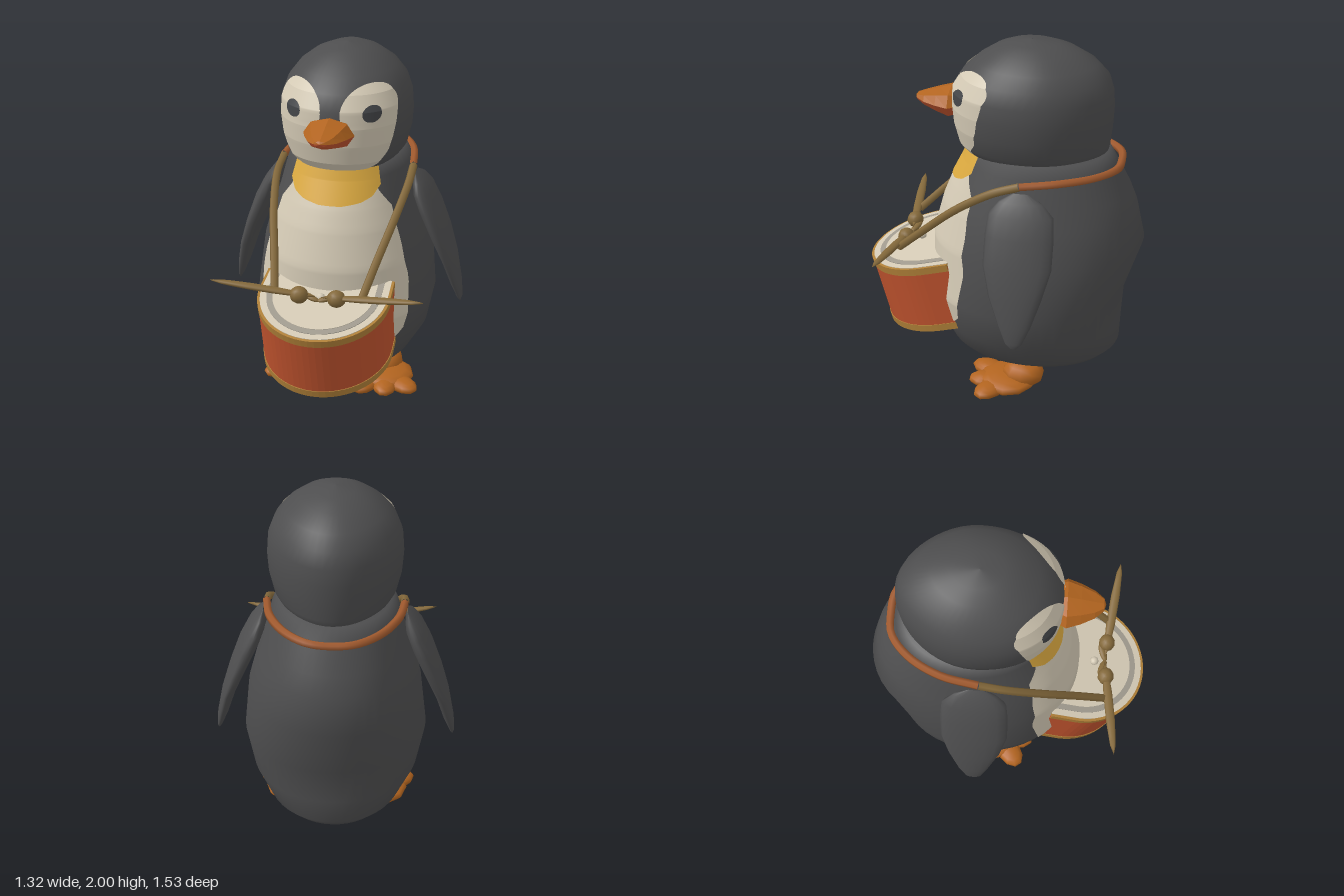
import * as THREE from 'three';

const mat = (name, color, extra = {}) => {
  const m = new THREE.MeshStandardMaterial({ color, ...extra });
  m.name = name;
  return m;
};

// Cross-section rows: [y, half width, front z, back z, centre x, front fullness, back fullness]
const BODY = [
  [0.08, 0.001, -0.17, -0.171], [0.09, 0.16, 0.02, -0.36], [0.15, 0.25, 0.17, -0.5],
  [0.2, 0.32, 0.25, -0.6], [0.26, 0.38, 0.3, -0.655], [0.4, 0.46, 0.36, -0.66],
  [0.6, 0.5, 0.39, -0.67], [0.9, 0.465, 0.385, -0.765], [1.1, 0.41, 0.33, -0.72],
  [1.2, 0.375, 0.29, -0.68], [1.35, 0.335, 0.215, -0.6], [1.42, 0.3, 0.19, -0.56],
  [1.46, 0.001, -0.18, -0.181],
].map(row => [...row, 0, 0.02, 0.02]);
const HEAD = [
  [1.36, 0.001, -0.18, -0.181], [1.37, 0.25, 0.14, -0.5], [1.4, 0.285, 0.2, -0.55],
  [1.45, 0.32, 0.24, -0.56], [1.55, 0.345, 0.265, -0.57], [1.65, 0.352, 0.275, -0.575],
  [1.74, 0.345, 0.27, -0.57], [1.82, 0.315, 0.225, -0.545], [1.89, 0.26, 0.15, -0.48],
  [1.95, 0.18, 0.06, -0.38], [1.985, 0.1, -0.02, -0.28], [2.0, 0.001, -0.14, -0.141],
].map(row => [...row, 0, 0.035, -0.035]);
const WING = [
  [0.53, 0.002, -0.15, -0.18, 0.65], [0.56, 0.015, -0.12, -0.21, 0.645],
  [0.65, 0.03, -0.08, -0.25, 0.622], [0.8, 0.04, -0.02, -0.3, 0.582],
  [0.95, 0.05, 0.02, -0.34, 0.527], [1.1, 0.058, 0.02, -0.34, 0.465],
  [1.2, 0.05, 0.01, -0.33, 0.422], [1.26, 0.03, -0.04, -0.27, 0.398], [1.3, 0.002, -0.11, -0.19, 0.38],
];
// Runs along the beak's length
const BEAK = [
  [0.24, 0.11, 0.08, -0.06], [0.29, 0.135, 0.095, -0.07], [0.36, 0.11, 0.072, -0.05],
  [0.43, 0.075, 0.045, -0.028], [0.475, 0.035, 0.02, -0.014], [0.485, 0.001, 0.001, -0.001],
];

// Linear lookup of a row at height y
function rowAt(table, y) {
  let i = 0;
  while (i < table.length - 2 && y > table[i + 1][0]) i++;
  const a = table[i], b = table[i + 1];
  const k = THREE.MathUtils.clamp((y - a[0]) / (b[0] - a[0]), 0, 1);
  return a.map((v, j) => v + (b[j] - v) * k);
}

// Point on the section at angle t from the front; fullness swells the diagonals
function sectionPoint([y, w, zf, zb, cx = 0, fullFront = 0, fullBack = 0], t, grow = 0) {
  const k = 1 + (Math.cos(t) < 0 ? fullBack : fullFront) * Math.sin(2 * t) ** 2;
  return [cx + (w + grow) * Math.sin(t) * k, y,
    (zf + zb) / 2 + ((zf - zb) / 2 + grow) * Math.cos(t) * k];
}

// Skin a grid of points, optionally joined around
function skin(rows, closed) {
  const n = rows[0].length, index = [];
  for (let r = 0; r < rows.length - 1; r++) {
    for (let c = 0; c < (closed ? n : n - 1); c++) {
      const d = (c + 1) % n, a = r * n + c, b = r * n + d;
      index.push(a, b, b + n, a, b + n, a + n);
    }
  }
  const g = new THREE.BufferGeometry();
  g.setAttribute('position', new THREE.Float32BufferAttribute(rows.flat(2), 3));
  g.setIndex(index);
  g.computeVertexNormals();
  return g;
}

function loft(table, segments, from = 0, to = Math.PI * 2) {
  const closed = to - from > 6, n = closed ? segments : segments + 1;
  return skin(table.map(row => Array.from({ length: n },
    (_, i) => sectionPoint(row, from + (to - from) * i / segments))), closed);
}

// Thin painted area hugging a loft, between x = lo(y) and x = hi(y)
function patch(table, y0, y1, lo, hi, grow = 0.006) {
  const ys = table.map(r => r[0]).filter(y => y > y0 + 0.002 && y < y1 - 0.002);
  for (let i = 0; i <= 30; i++) ys.push(y0 + (y1 - y0) * (1 - Math.cos(Math.PI * i / 30)) / 2);
  ys.sort((a, b) => a - b);
  return skin(ys.map(y => {
    const row = rowAt(table, y);
    const ang = x => Math.asin(THREE.MathUtils.clamp(x / row[1], -1, 1));
    const a = ang(lo(y)), b = ang(hi(y));
    return Array.from({ length: 25 }, (_, i) => sectionPoint(row, a + (b - a) * i / 24, grow));
  }), false);
}

const along = pts => y => rowAt(pts, y)[1];
// Half width of an ellipse at height y
const bulge = (y, cy, rx, ry) => rx * Math.sqrt(Math.max(0, 1 - ((y - cy) / ry) ** 2));

// Slab with the drum's footprint: rounded front, straight sides running back to the belly
function drumSlab(scale, height) {
  const shape = new THREE.Shape();
  shape.moveTo(0.35 * scale, 0.27);
  shape.lineTo(-0.35 * scale, 0.27);
  for (let i = 0; i <= 32; i++) {
    const a = Math.PI * i / 32;
    shape.lineTo(-0.355 * scale * Math.cos(a), 0.115 - 0.37 * scale * Math.sin(a));
  }
  const g = new THREE.ExtrudeGeometry(shape, { depth: height, bevelEnabled: false });
  g.translate(0, 0, -height / 2);
  g.rotateX(-Math.PI / 2);
  return g;
}

export function createModel() {
  const model = new THREE.Group();
  model.name = 'penguinDrummer';
  const both = { side: THREE.DoubleSide };
  const black = mat('charcoal', 0x4e4e4f), cream = mat('cream', 0xd4cab5, both);
  const yellow = mat('collarYellow', 0xdcaa40, both), eyeGrey = mat('eyeGrey', 0x434548, both);
  const orange = mat('orange', 0xb2641f, both), red = mat('drumRed', 0xc0532e, both);
  const gold = mat('rimGold', 0xb08038), skinGrey = mat('drumSkinGrey', 0xa09a8e);
  const olive = mat('oliveBrown', 0x84693b), rust = mat('rustLeather', 0xa15a2e);

  const add = (name, geometry, material, parent = model) => {
    const m = new THREE.Mesh(geometry, material);
    m.name = name;
    parent.add(m);
    return m;
  };

  // Body, belly and collar
  add('body', loft(BODY, 48), black);
  const belly = along([[0.38, 0.2], [0.42, 0.3], [0.5, 0.375], [0.6, 0.4], [0.8, 0.395],
    [1.0, 0.35], [1.2, 0.29], [1.3, 0.22], [1.38, 0.19]]);
  add('belly', patch(BODY, 0.38, 1.38, y => -belly(y), belly), cream);
  const collar = along([[1.23, 0.06], [1.245, 0.15], [1.27, 0.2], [1.32, 0.23], [1.41, 0.21]]);
  add('collar', patch(BODY, 1.23, 1.41, y => -collar(y), collar, 0.012), yellow);

  // Head with face patches and eyes
  add('head', loft(HEAD, 48), black);
  const cheek = along([[1.39, 0.14], [1.43, 0.21], [1.5, 0.26], [1.58, 0.283], [1.66, 0.297], [1.73, 0.3]]);
  const outer = y => y < 1.73 ? cheek(y) : 0.18 + bulge(y, 1.73, 0.12, 0.135);
  const inner = y => y < 1.67 ? 0 : 0.18 - bulge(y, 1.73, 0.13, 0.135);
  const eyeHalf = y => bulge(y, 1.73, 0.04, 0.043);
  for (const s of [1, -1]) {
    const side = s > 0 ? 'left' : 'right';
    const span = (a, b) => s > 0 ? [a, b] : [y => -b(y), y => -a(y)];
    add(side + 'Face', patch(HEAD, 1.39, 1.865, ...span(inner, outer)), cream);
    add(side + 'Eye', patch(HEAD, 1.687, 1.773,
      ...span(y => 0.195 - eyeHalf(y), y => 0.195 + eyeHalf(y)), 0.012), eyeGrey);
  }

  // Beak: red underside, orange top
  for (const [name, from, material] of [['lowerBeak', -Math.PI / 2, red], ['upperBeak', Math.PI / 2, orange]]) {
    const g = loft(BEAK, 4, from, from + Math.PI).toNonIndexed();
    g.computeVertexNormals();
    g.rotateX(Math.PI / 2);
    add(name, g, material).position.y = 1.645;
  }

  // Drum, tilted forward
  const drum = new THREE.Group();
  drum.name = 'drum';
  drum.position.set(0, 0.555, 0.47);
  drum.rotation.x = 0.25;
  model.add(drum);
  const slab = (name, scale, height, y, material) =>
    add(name, drumSlab(scale, height), material, drum).position.y = y;
  slab('drumShell', 0.99, 0.36, 0, red);
  for (const s of [1, -1]) {
    slab('drumRim', 1, 0.04, s * 0.18, gold);
    slab('drumSkin', 0.96, 0.004, s * 0.201, cream);
    slab('drumSkinRing', 0.86, 0.004, s * 0.204, skinGrey);
    slab('drumSkinCentre', 0.77, 0.004, s * 0.207, cream);
  }
  const knob = add('drumKnob', new THREE.SphereGeometry(0.025, 8, 6), cream);
  knob.position.set(0, 0.79, 0.48);

  // Strap: two front runs and one run behind the neck
  const strap = (name, pts, material) => add(name, new THREE.TubeGeometry(
    new THREE.CatmullRomCurve3(pts.map(p => new THREE.Vector3(...p))), 40, 0.022, 6), material);
  const nape = [[0.365, 1.33, -0.14], [0.33, 1.35, -0.34], [0.24, 1.355, -0.51], [0.12, 1.355, -0.61]];
  const flip = ([x, y, z]) => [-x, y, z];
  const front = [[0.23, 0.83, 0.55], [0.275, 0.98, 0.39], [0.33, 1.15, 0.2], [0.365, 1.28, 0], nape[0]];
  strap('leftStrap', front, olive);
  strap('rightStrap', front.map(flip), olive);
  strap('napeStrap', [...nape, [0, 1.35, -0.625], ...nape.map(flip).reverse()], rust);

  // Wing, drumstick and foot, mirrored for each side
  for (const s of [1, -1]) {
    const half = new THREE.Group();
    half.name = s > 0 ? 'leftLimbs' : 'rightLimbs';
    half.scale.x = s;
    model.add(half);
    add('wing', loft(WING, 16), black, half);

    const ball = (name, p, size, material, turn = 0, tilt = 0) => {
      const m = add(name, new THREE.SphereGeometry(1, 10, 8), material, half);
      m.position.set(...p);
      m.scale.set(...size);
      m.rotation.set(0, turn, tilt);
    };
    ball('drumstick', [0.29, 0.856, 0.57], [0.28, 0.016, 0.026], olive, -0.12, 0.12);
    ball('drumstickTip', [0.1, 0.828, 0.545], [0.05, 0.046, 0.046], olive);
    ball('drumstickEnd', [0.045, 0.812, 0.525], [0.055, 0.014, 0.02], olive, 0.35, 0.2);

    ball('ankle', [0.23, 0.09, -0.145], [0.1, 0.078, 0.12], orange);
    ball('footPad', [0.25, 0.052, -0.06], [0.16, 0.05, 0.16], orange);
    for (const [x, z, turn] of [[0.155, 0.06, -0.4], [0.265, 0.05, 0.1], [0.355, 0.02, 0.95]])
      ball('toe', [x, 0.04, z], [0.07, 0.04, 0.11], orange, turn);
  }
  const bar = add('footBridge', new THREE.BoxGeometry(0.32, 0.04, 0.09), orange);
  bar.position.set(0, 0.06, -0.1);

  return model;
}
